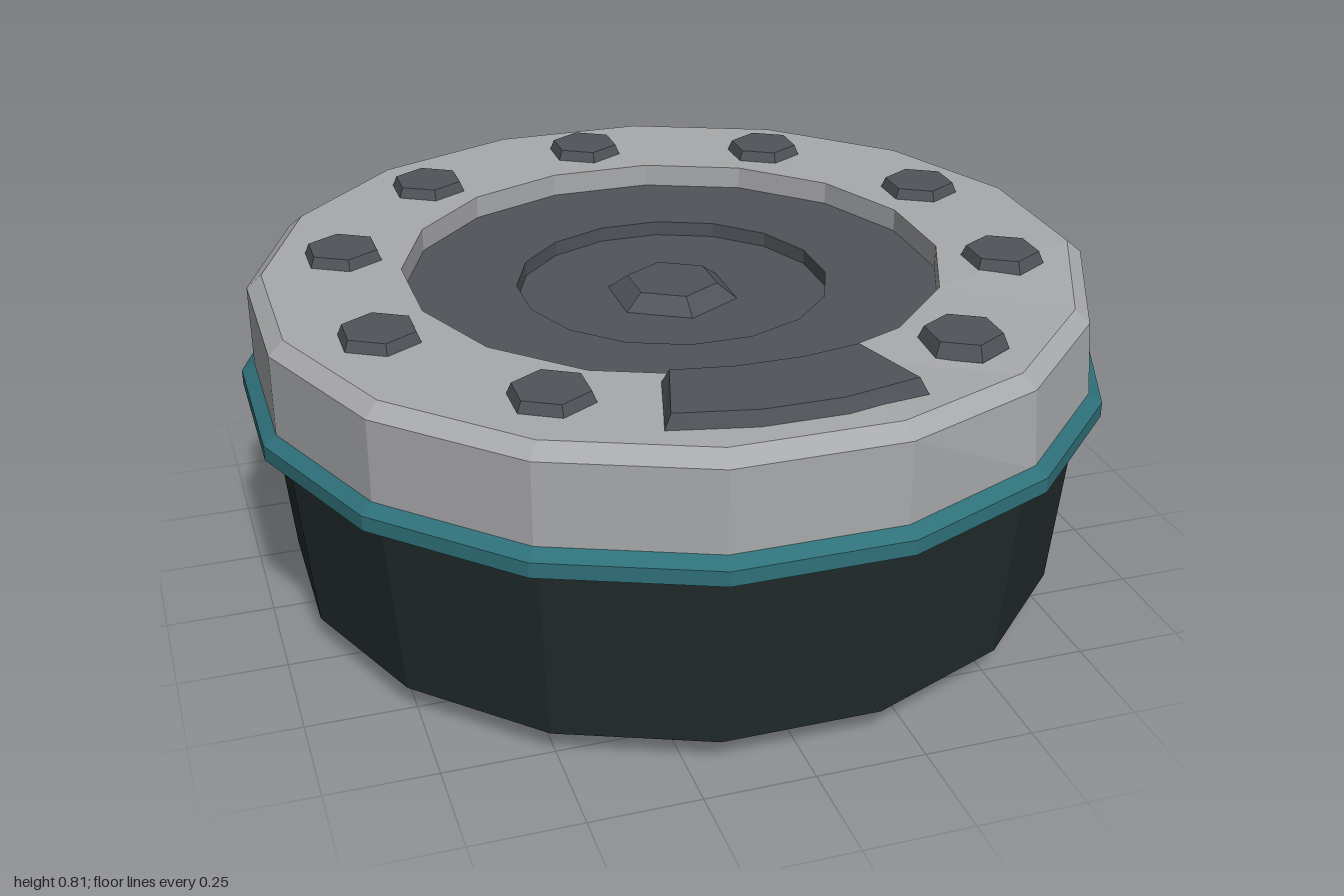
import * as THREE from 'three';

const SIDES = 16;
const HALF = Math.PI / SIDES;
const ROUND = 1 / Math.cos(HALF); // flat-to-flat radius -> corner radius

const mat = (name, color) => {
  const m = new THREE.MeshStandardMaterial({ color });
  m.name = name;
  return m;
};

// Faceted normals
function faceted(geo) {
  const g = geo.index ? geo.toNonIndexed() : geo;
  g.computeVertexNormals();
  return g;
}

// Sixteen-sided ring from a [flat radius, y] profile
function turned(points) {
  const profile = points.map(([r, y]) => new THREE.Vector2(r * ROUND, y));
  return new THREE.LatheGeometry(profile, SIDES, HALF);
}

function moveVertices(geo, rule) {
  const p = geo.attributes.position, v = new THREE.Vector3();
  for (let i = 0; i < p.count; i++) {
    rule(v.fromBufferAttribute(p, i));
    p.setXYZ(i, v.x, v.y, v.z);
  }
  return geo;
}

export function createModel() {
  const model = new THREE.Group();
  model.name = 'roundDevice';
  const body = mat('dark green black', 0x222c2b);
  const teal = mat('teal', 0x2f7079);
  const light = mat('light gray', 0xa8a9ab);
  const dark = mat('dark gray', 0x505359);

  const add = (name, geo, material, x = 0, y = 0, z = 0) => {
    const mesh = new THREE.Mesh(faceted(geo), material);
    mesh.name = name;
    mesh.position.set(x, y, z);
    model.add(mesh);
    return mesh;
  };

  // Foot and underside
  add('foot', turned([[0, 0], [0.8, 0], [0.83, 0.065], [0.91, 0.065]]), body);

  // Tapered body, leaving one side open at the back for the slot panel
  const y0 = 0.065, y1 = 0.495, r0 = 0.91, r1 = 0.95;
  const wall = new THREE.CylinderGeometry(r1 * ROUND, r0 * ROUND, y1 - y0, SIDES - 1, 1, true,
    Math.PI + HALF, 2 * Math.PI - 2 * HALF);
  add('body', wall, body, 0, (y0 + y1) / 2, 0);

  // Back panel with a slot
  const tilt = Math.atan2(r1 - r0, y1 - y0);
  const w0 = r0 * Math.tan(HALF), w1 = r1 * Math.tan(HALF);
  const height = Math.hypot(r1 - r0, y1 - y0);
  const shape = new THREE.Shape([[-w0, 0], [w0, 0], [w1, height], [-w1, height]]
    .map(([x, y]) => new THREE.Vector2(x, y)));
  shape.holes.push(new THREE.Path([[-0.115, 0.08], [-0.115, 0.16], [0.115, 0.16], [0.115, 0.08]]
    .map(([x, y]) => new THREE.Vector2(x, y))));
  const place = (geo) => geo.rotateX(tilt).translate(0, y0, r0).rotateY(Math.PI);
  const panel = new THREE.ExtrudeGeometry(shape, { depth: 0.04, bevelEnabled: false });
  add('backPanel', place(panel.translate(0, 0, -0.04)), body);
  add('slotFloor', place(new THREE.PlaneGeometry(0.25, 0.1).translate(0, 0.12, -0.035)), body);

  // Teal band
  add('band', turned([[0.93, 0.49], [0.95, 0.49], [1, 0.505], [1, 0.54], [0.97, 0.56], [0.95, 0.56]]), teal);

  // Light upper rim, worn down at one front corner
  const rim = turned([[0.97, 0.55], [0.97, 0.75], [0.935, 0.78], [0.62, 0.78], [0.62, 0.72]]);
  moveVertices(rim, (v) => {
    if (v.x > 0.4 && v.z > 0.4 && v.y > 0.74 && Math.hypot(v.x, v.z) > 0.9) {
      v.x *= 0.985;
      v.z *= 0.985;
      v.y -= 0.017;
    }
  });
  add('rim', rim, light);

  // Stepped dish and hexagonal hub
  add('dish', turned([[0.62, 0.725], [0.36, 0.725], [0.36, 0.69], [0, 0.69]]), dark);
  add('hub', new THREE.CylinderGeometry(0.108, 0.156, 0.035, 6), dark, 0, 0.7075, 0);

  // Nine hexagonal studs; the tenth place holds the front plate
  for (let i = 1; i < 10; i++) {
    const a = (i * Math.PI) / 5;
    add('stud' + i, new THREE.CylinderGeometry(0.085, 0.1, 0.035, 6), dark,
      0.774 * Math.sin(a), 0.7875, 0.774 * Math.cos(a));
  }

  // Curved front plate, narrowing towards its top
  const outline = [[-0.285, 0.835], [-0.095, 0.878], [0.095, 0.878], [0.285, 0.835],
    [0.225, 0.62], [0.08, 0.647], [-0.08, 0.647], [-0.225, 0.62]];
  const plate = new THREE.ExtrudeGeometry(
    new THREE.Shape(outline.map(([x, z]) => new THREE.Vector2(x, -z))),
    { depth: 0.04, bevelEnabled: false }).rotateX(-Math.PI / 2);
  moveVertices(plate, (v) => {
    if (v.y > 0.02) {
      v.x *= 0.93;
      v.z = 0.755 + (v.z - 0.755) * 0.87;
    }
  });
  add('frontPlate', plate, dark, 0, 0.772, 0);

  return model;
}
